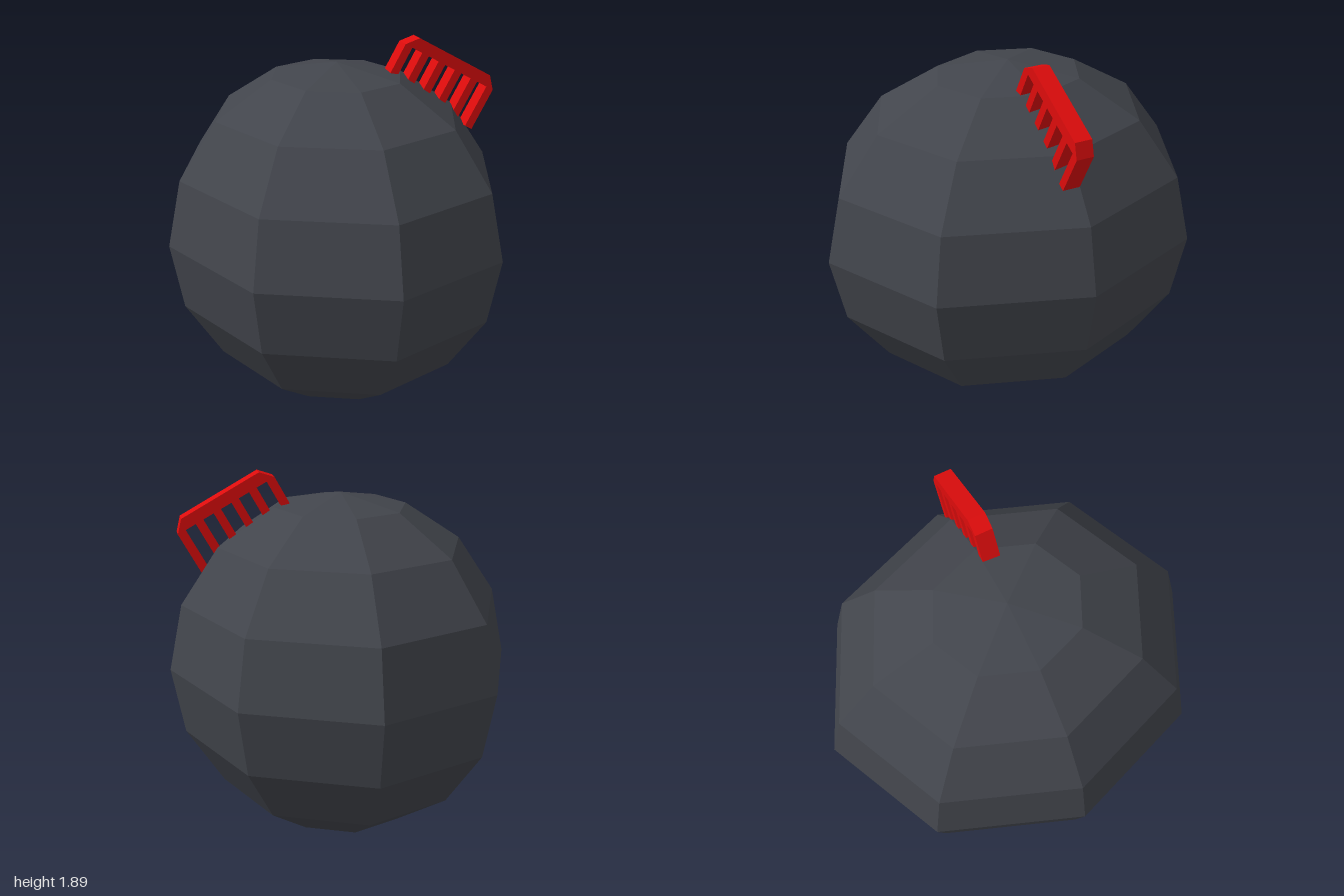
import * as THREE from 'three';

export function createModel() {
  const model = new THREE.Group();
  model.name = 'ballWithComb';

  // Faceted ball, slightly longer from front to back
  const ballGeometry = new THREE.SphereGeometry(1, 8, 8);
  ballGeometry.scale(0.89, 0.89, 1);
  const ball = new THREE.Mesh(
    ballGeometry,
    new THREE.MeshStandardMaterial({ color: 0x42454c, flatShading: true })
  );
  ball.name = 'ball';
  ball.position.y = 0.89;
  model.add(ball);

  // Comb outline: chamfered spine on top, a row of teeth below
  const length = 0.56, spine = 0.06, chamfer = 0.055;
  const teeth = 6, toothWidth = 0.042, toothLength = 0.23;
  const pitch = (length - toothWidth) / (teeth - 1);

  const outline = new THREE.Shape();
  outline.moveTo(length, 0);
  outline.lineTo(length - chamfer, spine);
  outline.lineTo(chamfer, spine);
  outline.lineTo(0, 0);
  for (let i = 0; i < teeth; i++) {
    const x = i * pitch;
    if (i > 0) outline.lineTo(x, 0);
    outline.lineTo(x, -toothLength);
    outline.lineTo(x + toothWidth, -toothLength);
    if (i < teeth - 1) outline.lineTo(x + toothWidth, 0);
  }
  outline.closePath();

  // Comb stuck into the upper left of the ball
  const comb = new THREE.Mesh(
    new THREE.ExtrudeGeometry(outline, { depth: 0.09, bevelEnabled: false }),
    new THREE.MeshStandardMaterial({ color: 0xdd0c0c, flatShading: true })
  );
  comb.name = 'comb';
  comb.position.set(0.335, 1.865, 0);
  comb.rotation.z = -0.508;
  model.add(comb);

  return model;
}
